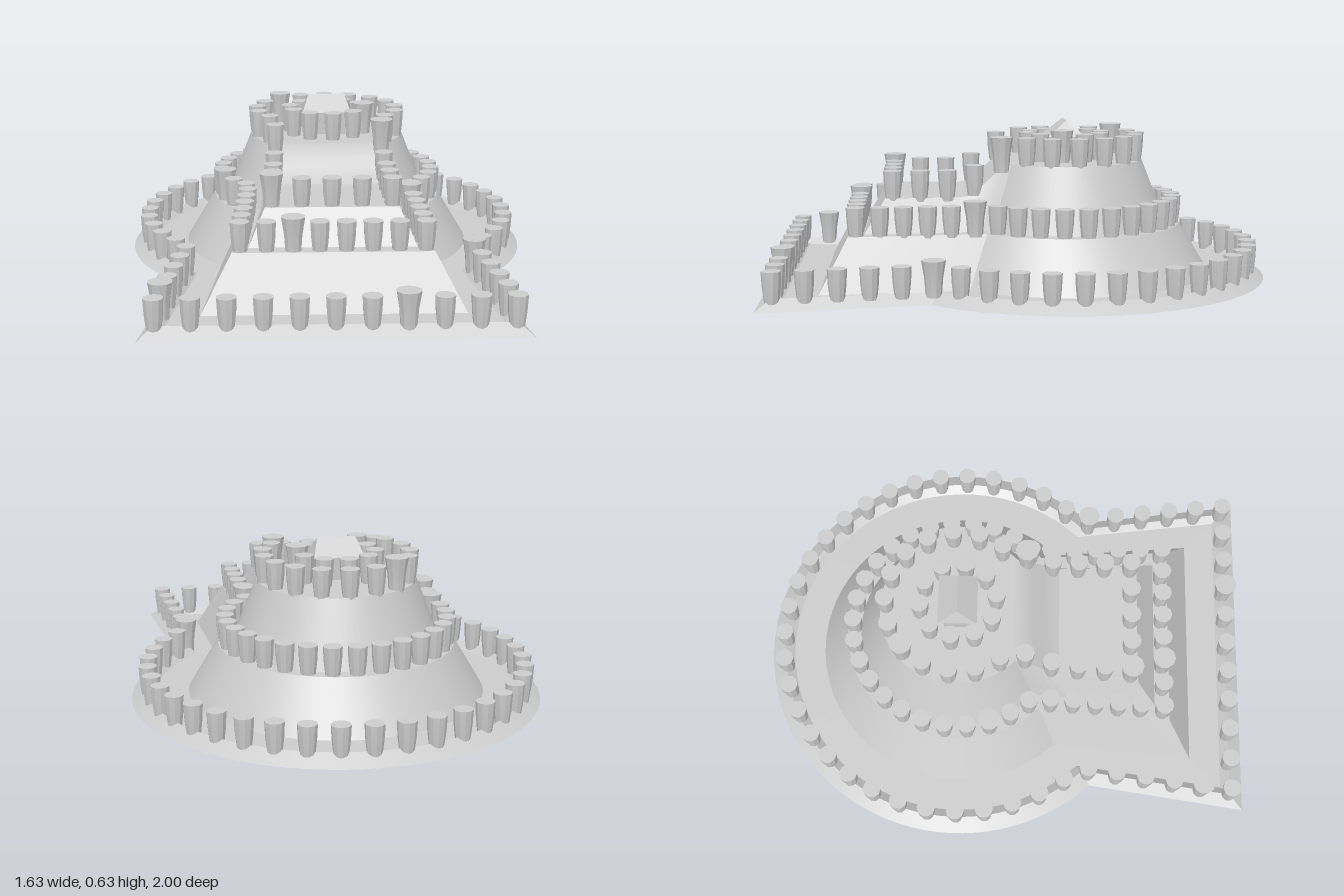
import * as THREE from 'three';
import { toCreasedNormals } from 'three/addons/utils/BufferGeometryUtils.js';

const CZ = -0.185; // centre of the round part
const ARC = 36, SIDE = 14;
const TOP = 0.47, FRONT_TOP = 0.345;

// Height of the summit: level over the round part, ramping down to the front platform
const summitY = (z) => TOP + (FRONT_TOP - TOP) * THREE.MathUtils.smoothstep(z, 0.04, 0.24);

// Half (+x) of a keyhole outline, from the back centre to the front corner
function halfOutline({ r, zf, wf, m, y }) {
  const k = wf - m * (zf - CZ); // side line: x = k + m * (z - CZ)
  const d = (-m * k + Math.sqrt(r * r * (1 + m * m) - k * k)) / (1 + m * m);
  const joint = Math.atan2(k + m * d, d);
  const pts = [];
  const add = (x, z) => pts.push(new THREE.Vector3(x, typeof y === 'function' ? y(z) : y, z));
  for (let i = 0; i <= ARC; i++) {
    const a = Math.PI + (joint - Math.PI) * (i / ARC);
    add(Math.abs(r * Math.sin(a)), CZ + r * Math.cos(a));
  }
  for (let i = 1; i <= SIDE; i++) {
    const z = THREE.MathUtils.lerp(CZ + d, zf, i / SIDE);
    add(k + m * (z - CZ), z);
  }
  return pts;
}

const mirror = (p) => new THREE.Vector3(-p.x, p.y, p.z);

function quad(out, a, b, c, d) {
  for (const p of [a, b, c, a, c, d]) out.push(p.x, p.y, p.z);
}

function toGeometry(positions) {
  const g = new THREE.BufferGeometry();
  g.setAttribute('position', new THREE.Float32BufferAttribute(positions, 3));
  return toCreasedNormals(g, 0.4);
}

// Band between two keyhole outlines, lower/outer one first
function band(levelA, levelB) {
  const a = halfOutline(levelA), b = halfOutline(levelB), out = [];
  const n = a.length - 1;
  for (let j = 0; j < n; j++) {
    quad(out, a[j], b[j], b[j + 1], a[j + 1]);
    quad(out, mirror(a[j + 1]), mirror(b[j + 1]), mirror(b[j]), mirror(a[j]));
  }
  quad(out, a[n], b[n], mirror(b[n]), mirror(a[n]));
  return toGeometry(out);
}

// Surface filling a keyhole outline
function cap(level) {
  const h = halfOutline(level), out = [];
  for (let j = 0; j < h.length - 1; j++) quad(out, h[j], mirror(h[j]), mirror(h[j + 1]), h[j + 1]);
  return toGeometry(out);
}

// Clay pot turned on a lathe, with facets
function potGeometry(profile) {
  const pts = profile.map(([x, y]) => new THREE.Vector2(x, y));
  return toCreasedNormals(new THREE.LatheGeometry(pts, 10), 0.3);
}

export function createModel() {
  const group = new THREE.Group();
  const stone = new THREE.MeshStandardMaterial({ color: 0xcccccc, side: THREE.DoubleSide });
  stone.name = 'pale grey stone';
  const earth = new THREE.MeshStandardMaterial({ color: 0x80765f });
  earth.name = 'brown earth';

  const add = (name, geometry, parent = group, material = stone) => {
    const mesh = new THREE.Mesh(geometry, material);
    mesh.name = name;
    parent.add(mesh);
    return mesh;
  };

  // Keyhole outlines from the outer bank up to the summit
  const outer = { r: 0.815, zf: 1, wf: 0.69, m: 0.14, y: 0 };
  const crest = { r: 0.755, zf: 0.945, wf: 0.635, m: 0.14, y: 0.04 };
  const moatEdge = { r: 0.72, zf: 0.91, wf: 0.6, m: 0.13, y: 0.015 };
  const foot = { r: 0.59, zf: 0.785, wf: 0.48, m: 0.085, y: 0.015 };
  const terraceEdge = { r: 0.47, zf: 0.68, wf: 0.37, m: 0.07, y: 0.215 };
  const terraceInner = { r: 0.415, zf: 0.62, wf: 0.31, m: 0.07, y: 0.215 };
  const summit = { r: 0.315, zf: 0.54, wf: 0.25, m: 0.07, y: summitY };

  add('bankOuterSlope', band(outer, crest));
  add('bankInnerSlope', band(crest, moatEdge));
  add('moatFloor', band(moatEdge, foot));
  add('lowerSlope', band(foot, terraceEdge));
  add('terrace', band(terraceEdge, terraceInner));
  add('upperSlope', band(terraceInner, summit));
  add('summit', cap(summit));

  // Brown earth layer facing down under the moat
  add('moatUnderside', band({ ...foot, y: 0.008 }, { ...moatEdge, y: 0.008 }), group, earth);

  // Two kinds of pot: plain and flared
  const plain = potGeometry([[0, 0], [0.027, 0], [0.034, 0.06], [0.037, 0.12], [0, 0.12]]);
  const flared = potGeometry([[0, 0], [0.03, 0], [0.035, 0.07], [0.046, 0.138], [0, 0.138]]);

  // Pots spaced along a keyhole outline, with a row across the front;
  // those nearest the flared spots [x, z] are the flared kind
  function potRow(name, level, count, frontCount, flaredSpots) {
    const row = new THREE.Group();
    row.name = name;
    group.add(row);
    const place = (x, z) => {
      const y = typeof level.y === 'function' ? level.y(z) : level.y;
      const big = flaredSpots.some(([fx, fz]) => Math.hypot(x - fx, z - fz) < 0.045);
      add(big ? 'flaredPot' : 'pot', big ? flared : plain, row).position.set(x, y, z);
    };
    const path = new THREE.Path(halfOutline(level).map((p) => new THREE.Vector2(p.x, p.z)));
    const spots = path.getSpacedPoints(count);
    spots.forEach((p) => place(p.x, p.y));
    spots.slice(1).forEach((p) => place(-p.x, p.y));
    for (let i = 1; i < frontCount; i++) place(level.wf * (1 - (2 * i) / frontCount), level.zf);
  }
  potRow('bankPots', { r: 0.75, zf: 0.94, wf: 0.63, m: 0.12, y: 0.022 }, 20, 10,
    [[0.25, 0.94], [-0.62, 0.84], [0.56, 0.33]]);
  potRow('terracePots', { r: 0.44, zf: 0.65, wf: 0.34, m: 0.04, y: 0.205 }, 17, 7,
    [[-0.15, 0.65], [0.32, 0.22], [-0.42, -0.05]]);
  potRow('summitPots', { r: 0.29, zf: 0.51, wf: 0.225, m: 0.03, y: (z) => summitY(z) - 0.014 }, 11, 4,
    [[-0.225, 0.51], [0.21, 0.08], [-0.22, -0.37]]);

  // Small ring of pots around the house
  const ring = new THREE.Group();
  ring.name = 'innerPots';
  group.add(ring);
  for (let i = 0; i < 10; i++) {
    const a = (i / 10) * Math.PI * 2 + 0.15;
    const pot = add('pot', i === 2 ? flared : plain, ring);
    pot.position.set(0.153 * Math.sin(a), 0.46, CZ + 0.153 * Math.cos(a));
  }

  // House with a hipped roof
  const house = new THREE.Group();
  house.name = 'house';
  house.position.set(0, TOP, CZ);
  group.add(house);
  add('houseWalls', new THREE.BoxGeometry(0.16, 0.1, 0.11), house).position.y = 0.05;
  const roof = new THREE.BoxGeometry(0.2, 0.065, 0.155).toNonIndexed();
  const p = roof.attributes.position;
  for (let i = 0; i < p.count; i++) {
    if (p.getY(i) > 0) p.setXYZ(i, p.getX(i) * 0.75, p.getY(i), 0);
  }
  roof.computeVertexNormals();
  add('houseRoof', roof, house).position.y = 0.1275;

  return group;
}
